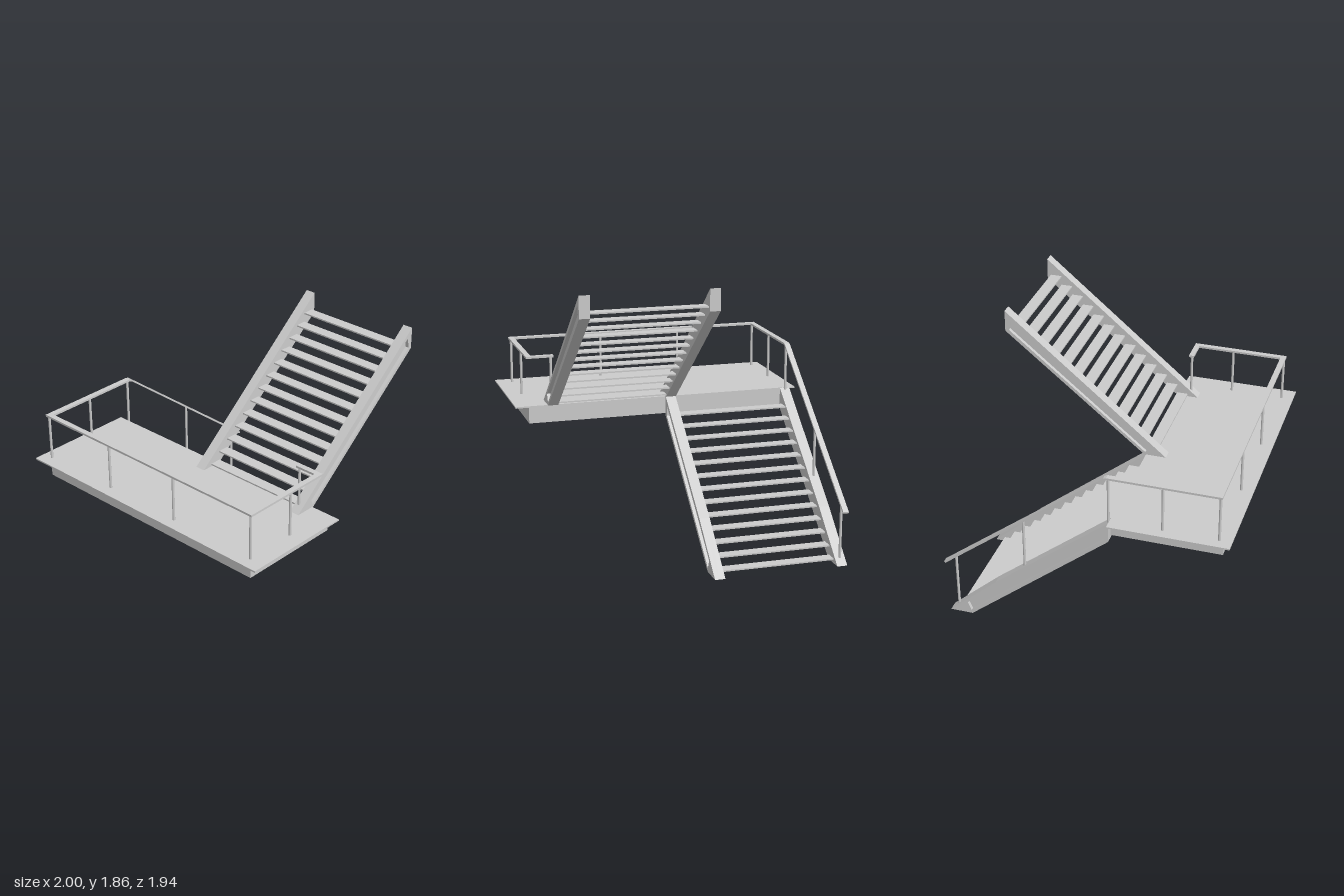
import * as THREE from 'three';

const grey = new THREE.MeshStandardMaterial({ color: 0xcccccc, flatShading: true });
const smoothGrey = new THREE.MeshStandardMaterial({ color: 0xcccccc });

function add(parent, name, geometry, material = grey) {
  const mesh = new THREE.Mesh(geometry, material);
  mesh.name = name;
  parent.add(mesh);
  return mesh;
}

// Box given by its lower and upper limits on each axis
function box(parent, name, [x0, x1], [y0, y1], [z0, z1]) {
  const mesh = add(parent, name, new THREE.BoxGeometry(x1 - x0, y1 - y0, z1 - z0));
  mesh.position.set((x0 + x1) / 2, (y0 + y1) / 2, (z0 + z1) / 2);
}

// Side profile of [z, y] points extruded along x from x0 to x1
function slab(parent, name, profile, x0, x1, hole) {
  const points = (list) => list.map(([z, y]) => new THREE.Vector2(-z, y));
  const shape = new THREE.Shape(points(profile));
  if (hole) shape.holes.push(new THREE.Path(points(hole)));
  const geometry = new THREE.ExtrudeGeometry(shape, { depth: x1 - x0, bevelEnabled: false });
  geometry.rotateY(Math.PI / 2).translate(x0, 0, 0);
  add(parent, name, geometry);
}

function post(parent, x, z, y0, y1) {
  const mesh = add(parent, 'railPost', new THREE.CylinderGeometry(0.009, 0.009, y1 - y0, 12), smoothGrey);
  mesh.position.set(x, (y0 + y1) / 2, z);
}

// Stringer with a sunken panel on its outer side (side = 1 for +x, -1 for -x)
function stringer(parent, profile, panel, x0, x1, side) {
  const recess = 0.025;
  const split = side > 0 ? x1 - recess : x0 + recess;
  const web = side > 0 ? [x0, split] : [split, x1];
  const rim = side > 0 ? [split, x1] : [x0, split];
  slab(parent, 'stringerWeb', profile, ...web);
  slab(parent, 'stringerRim', profile, ...rim, panel);
}

// Flight of open treads between two stringers
function flight(name, { profile, panel, left, right, firstY, firstZ, direction }) {
  const group = new THREE.Group();
  group.name = name;
  stringer(group, profile, panel, ...left, -1);
  stringer(group, profile, panel, ...right, 1);
  const depth = 0.0777, rise = 0.0661;
  for (let i = 0; i < 13; i++) {
    const y = firstY + i * rise;
    const z = firstZ + direction * i * depth;
    box(group, 'tread', [left[1], right[0]], [y - 0.005, y + 0.005], [z - depth / 2, z + depth / 2]);
  }
  return group;
}

export function createModel() {
  const model = new THREE.Group();
  model.name = 'staircase';

  // Landing
  const landing = new THREE.Group();
  landing.name = 'landing';
  box(landing, 'landingPlate', [-1, 1], [0.922, 0.932], [0.18, 0.97]);
  box(landing, 'landingBase', [-0.91, 0.91], [0.812, 0.922], [0.18, 0.91]);
  model.add(landing);

  // Stair flights
  model.add(flight('lowerFlight', {
    profile: [[0.18, 0.93], [0.18, 0.79], [-0.78, 0], [-0.935, 0], [-0.6, 0.3]],
    panel: [[0.15, 0.87], [0.155, 0.8], [-0.785, 0.025], [-0.81, 0.085], [-0.59, 0.272]],
    left: [-0.96, -0.89], right: [-0.12, -0.05],
    firstY: 0.027, firstZ: -0.831, direction: 1,
  }));
  model.add(flight('upperFlight', {
    profile: [[0.32, 0.93], [0.17, 0.93], [-0.79, 1.715], [-0.79, 1.86]],
    panel: [[0.2, 1.005], [0.175, 0.95], [-0.765, 1.725], [-0.75, 1.795]],
    left: [-0.12, -0.05], right: [0.71, 0.78],
    firstY: 0.946, firstZ: 0.206, direction: -1,
  }));

  // Flat handrail around the landing, with a return to the upper flight
  const railing = new THREE.Group();
  railing.name = 'railing';
  const railY = [1.244, 1.258];
  box(railing, 'frontRail', [-0.945, 0.91], railY, [0.865, 0.902]);
  box(railing, 'leftRail', [0.873, 0.91], railY, [0.245, 0.865]);
  box(railing, 'returnRail', [0.72, 0.873], railY, [0.245, 0.28]);

  // Right rail bends and runs down beside the lower flight
  slab(railing, 'slopingRail', [
    [0.865, 1.258], [0.865, 1.244], [0.165, 1.244], [0.14, 1.232],
    [-0.96, 0.368], [-0.968, 0.38], [0.145, 1.251], [0.165, 1.258],
  ], -0.945, -0.907);

  // Posts
  for (const x of [-0.926, -0.345, 0.236, 0.891]) post(railing, x, 0.888, 0.93, 1.246);
  for (const x of [-0.926, 0.891]) post(railing, x, 0.525, 0.93, 1.246);
  post(railing, 0.738, 0.263, 0.97, 1.246);
  post(railing, -0.926, 0.173, 0.85, 1.246);
  post(railing, -0.926, -0.4, 0.45, 0.812);
  post(railing, -0.926, -0.885, 0.04, 0.435);
  model.add(railing);

  return model;
}
